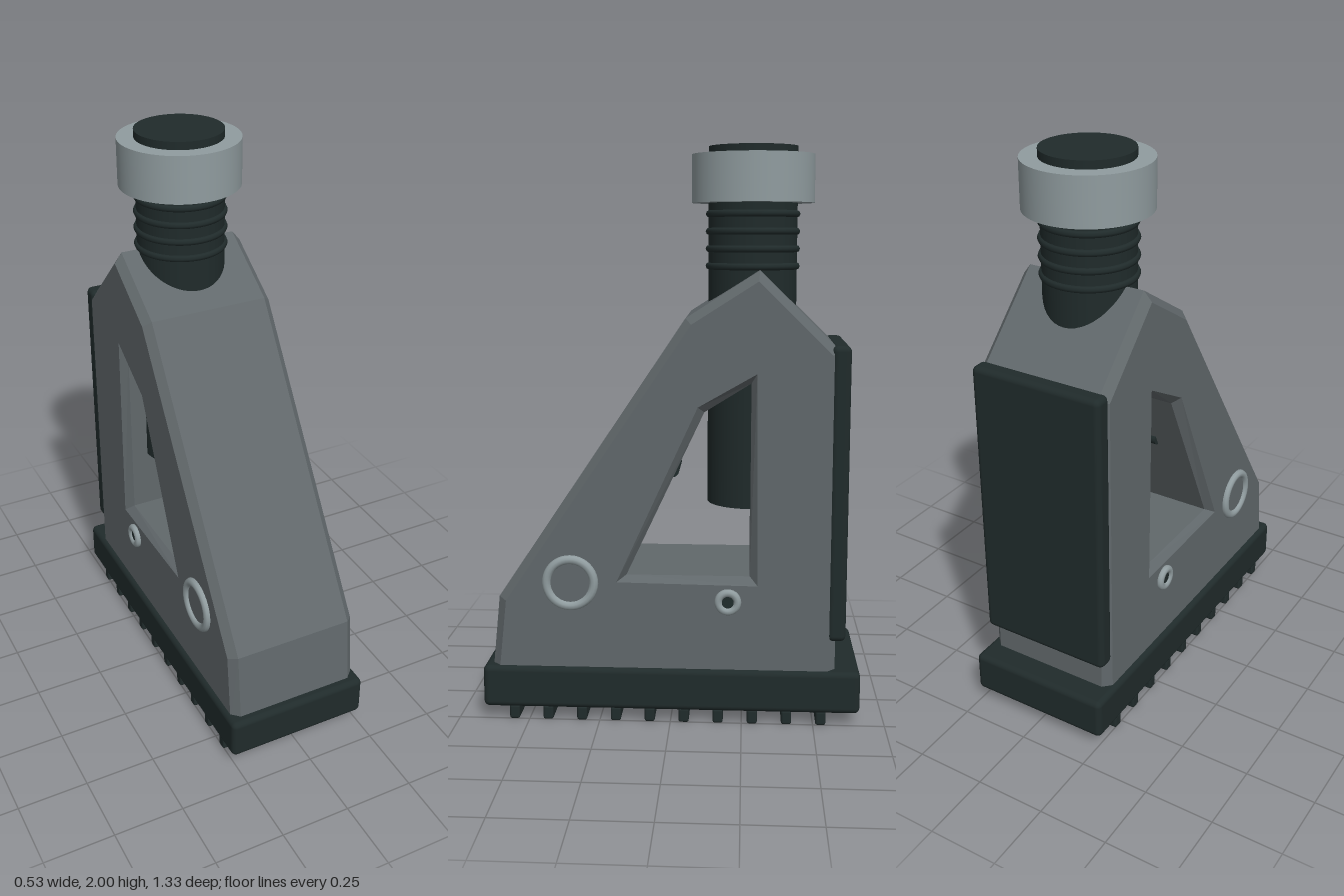
import * as THREE from 'three';
import { RoundedBoxGeometry } from 'three/addons/geometries/RoundedBoxGeometry.js';

const mat = (name, color) => {
  const m = new THREE.MeshStandardMaterial({ color });
  m.name = name;
  return m;
};

export function createModel() {
  const bodyGrey = mat('body grey', 0x61686b);
  const rubber = mat('dark rubber', 0x202b2b);
  const metal = mat('light metal', 0x909c9f);
  const group = new THREE.Group();

  const add = (name, geometry, material, x = 0, y = 0, z = 0) => {
    const mesh = new THREE.Mesh(geometry, material);
    mesh.name = name;
    mesh.position.set(x, y, z);
    group.add(mesh);
    return mesh;
  };
  const points = (list) => list.map(([z, y]) => new THREE.Vector2(z, y));

  // Bevelled side profile (z, y) with a window, extruded across x
  const profile = new THREE.Shape(points([
    [-0.575, 0.12], [0.637, 0.12], [0.605, 0.44], [-0.05, 1.42], [-0.3, 1.58], [-0.575, 1.31],
  ]));
  profile.holes.push(new THREE.Path(points([
    [0.155, 0.525], [-0.275, 0.525], [-0.275, 1.2], [-0.115, 1.1],
  ])));
  const bevel = 0.028;
  const bodyGeo = new THREE.ExtrudeGeometry(profile, {
    depth: 0.49 - 2 * bevel, bevelEnabled: true, bevelSegments: 1,
    bevelSize: bevel, bevelThickness: bevel, bevelOffset: -bevel,
  });
  bodyGeo.translate(0, 0, -(0.245 - bevel));
  bodyGeo.rotateY(-Math.PI / 2);
  add('body', bodyGeo, bodyGrey);

  // Foot with tread ribs
  add('foot', new RoundedBoxGeometry(0.525, 0.15, 1.325, 3, 0.02), rubber, 0, 0.12, 0);
  for (let i = 0; i < 10; i++) {
    add('treadRib', new RoundedBoxGeometry(0.51, 0.05, 0.036, 2, 0.008), rubber, 0, 0.025, 0.553 - i * 0.12);
  }

  // Back pad
  add('backPad', new RoundedBoxGeometry(0.486, 1.03, 0.066, 3, 0.02), rubber, 0, 0.815, -0.577);

  // Threaded post with collar
  const postZ = -0.275;
  add('post', new THREE.CylinderGeometry(0.155, 0.155, 1.25, 48), rubber, 0, 1.375, postZ);
  for (let i = 0; i < 4; i++) {
    const ring = add('threadRing', new THREE.TorusGeometry(0.152, 0.013, 8, 48), rubber, 0, 1.59 + i * 0.06, postZ);
    ring.rotation.x = Math.PI / 2;
  }
  add('collar', new THREE.CylinderGeometry(0.214, 0.214, 0.165, 48), metal, 0, 1.89, postZ);

  // Short pin on the inner wall of the window
  const pin = add('windowPin', new THREE.CylinderGeometry(0.022, 0.022, 0.2, 16), rubber, 0, 0.872, 0);
  pin.rotation.z = Math.PI / 2;

  // Side fittings, mirrored
  for (const side of [-1, 1]) {
    const rim = add('pivotRim', new THREE.TorusGeometry(0.083, 0.016, 10, 40), metal, side * 0.247, 0.5, 0.35);
    rim.rotation.y = Math.PI / 2;
    const hub = add('pivotHub', new THREE.CylinderGeometry(0.075, 0.075, 0.02, 40), bodyGrey, side * 0.24, 0.5, 0.35);
    hub.rotation.z = Math.PI / 2;
    const washer = add('boltWasher', new THREE.TorusGeometry(0.033, 0.014, 10, 28), metal, side * 0.25, 0.44, -0.2);
    washer.rotation.y = Math.PI / 2;
    const bolt = add('bolt', new THREE.CylinderGeometry(0.024, 0.024, 0.03, 20), rubber, side * 0.24, 0.44, -0.2);
    bolt.rotation.z = Math.PI / 2;
  }
  return group;
}
